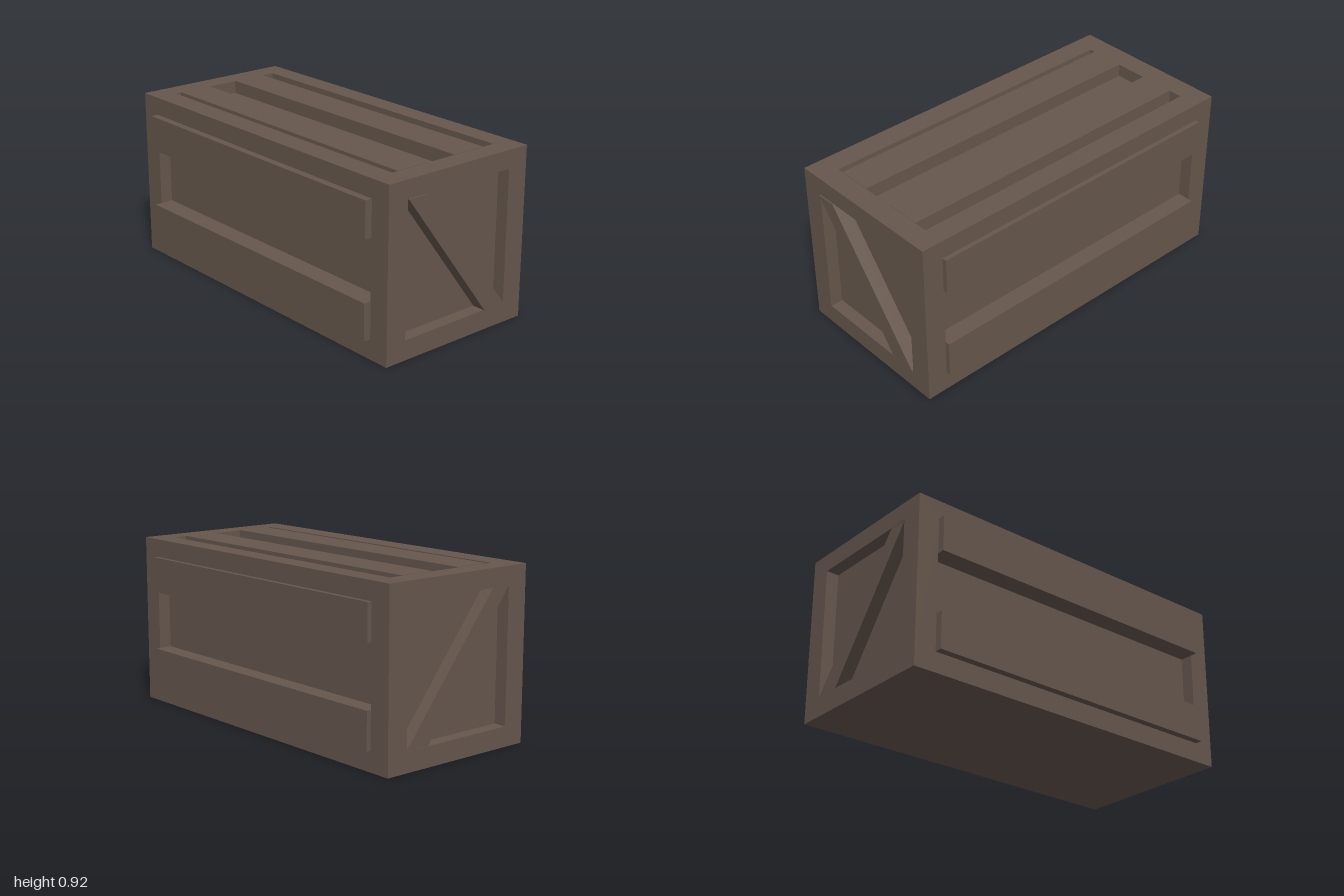
import * as THREE from 'three';
import { mergeGeometries } from 'three/addons/utils/BufferGeometryUtils.js';

const V = (x, y, z) => new THREE.Vector3(x, y, z);
const DEPTH = 0.07; // depth of every recess

// Crate body limits
const X0 = -1, X1 = 0.99, Z0 = -0.465, Z1 = 0.45, H = 0.918;
// Limits of the recessed panels
const PX0 = -0.88, PX1 = 0.875, PZ0 = -0.345, PZ1 = 0.33, PY0 = 0.107, PY1 = 0.82;

function polygon(points) {
  return new THREE.Shape(points.map(([x, y]) => new THREE.Vector2(x, y)));
}

function rect([u0, v0, u1, v1]) {
  return polygon([[u0, v0], [u1, v0], [u1, v1], [u0, v1]]);
}

// Inward-facing open box behind a rectangular opening
function recess([u0, v0, u1, v1]) {
  const g = new THREE.BoxGeometry(u1 - u0, v1 - v0, DEPTH);
  g.scale(-1, 1, 1);
  const index = Array.from(g.index.array);
  index.splice(24, 6); // leave out the front side
  g.setIndex(index);
  g.clearGroups();
  g.computeVertexNormals();
  return g.translate((u0 + u1) / 2, (v0 + v1) / 2, -DEPTH / 2);
}

// One crate side, drawn in its own plane and then turned into place
function side(u, v, n, offset, outline, opening) {
  const shape = rect(outline);
  const parts = [];
  if (opening) {
    shape.holes.push(rect(opening));
    parts.push(recess(opening));
  }
  parts.push(new THREE.ShapeGeometry(shape));
  const matrix = new THREE.Matrix4().makeBasis(u, v, n).setPosition(n.clone().multiplyScalar(offset));
  return mergeGeometries(parts).applyMatrix4(matrix);
}

export function createModel() {
  const group = new THREE.Group();
  const wood = new THREE.MeshStandardMaterial({ color: 0x66574d });
  wood.name = 'brown wood';

  const add = (name, geometry) => {
    const mesh = new THREE.Mesh(geometry, wood);
    mesh.name = name;
    group.add(mesh);
  };
  const plank = (name, x0, x1, y0, y1, z0, z1) =>
    add(name, new THREE.BoxGeometry(x1 - x0, y1 - y0, z1 - z0)
      .translate((x0 + x1) / 2, (y0 + y1) / 2, (z0 + z1) / 2));

  // Framed sides with sunken panels, and a plain underside
  const X = V(1, 0, 0), Y = V(0, 1, 0), Z = V(0, 0, 1);
  const NX = V(-1, 0, 0), NY = V(0, -1, 0), NZ = V(0, 0, -1);
  add('frontFrame', side(X, Y, Z, Z1, [X0, 0, X1, H], [PX0, PY0, PX1, PY1]));
  add('backFrame', side(NX, Y, NZ, -Z0, [-X1, 0, -X0, H], [-PX1, PY0, -PX0, PY1]));
  add('leftFrame', side(NZ, Y, X, X1, [-Z1, 0, -Z0, H], [-PZ1, PY0, -PZ0, PY1]));
  add('rightFrame', side(Z, Y, NX, -X0, [Z0, 0, Z1, H], [PZ0, PY0, PZ1, PY1]));
  add('topFrame', side(X, NZ, Y, H, [X0, -Z1, X1, -Z0], [PX0, -0.325, PX1, 0.35]));
  add('underside', side(X, Z, NY, 0, [X0, Z0, X1, Z1]));

  // Raised planks on front and back
  for (const [level, y0, y1] of [['lower', PY0, 0.305], ['upper', 0.627, PY1]]) {
    plank(level + 'FrontPlank', PX0, PX1, y0, y1, Z1 - DEPTH, 0.49);
    plank(level + 'BackPlank', PX0, PX1, y0, y1, -0.49, Z0 + DEPTH);
  }

  // Lid planks, nearly flush with the frame
  plank('backLidPlank', PX0, PX1, H - DEPTH, H + 0.002, -0.275, -0.08);
  plank('frontLidPlank', PX0, PX1, H - DEPTH, H + 0.002, 0.1, 0.292);

  // Diagonal braces in the two ends
  for (const [name, x0, x1] of [['leftBrace', X1 - DEPTH, 0.997], ['rightBrace', -0.998, X0 + DEPTH]]) {
    const shape = polygon([[-PZ1, PY1], [0.205, PY0], [-PZ0, PY0], [-0.22, PY1]]);
    const geometry = new THREE.ExtrudeGeometry(shape, { depth: x1 - x0, bevelEnabled: false });
    add(name, geometry.rotateY(Math.PI / 2).translate(x0, 0, 0));
  }

  return group;
}
